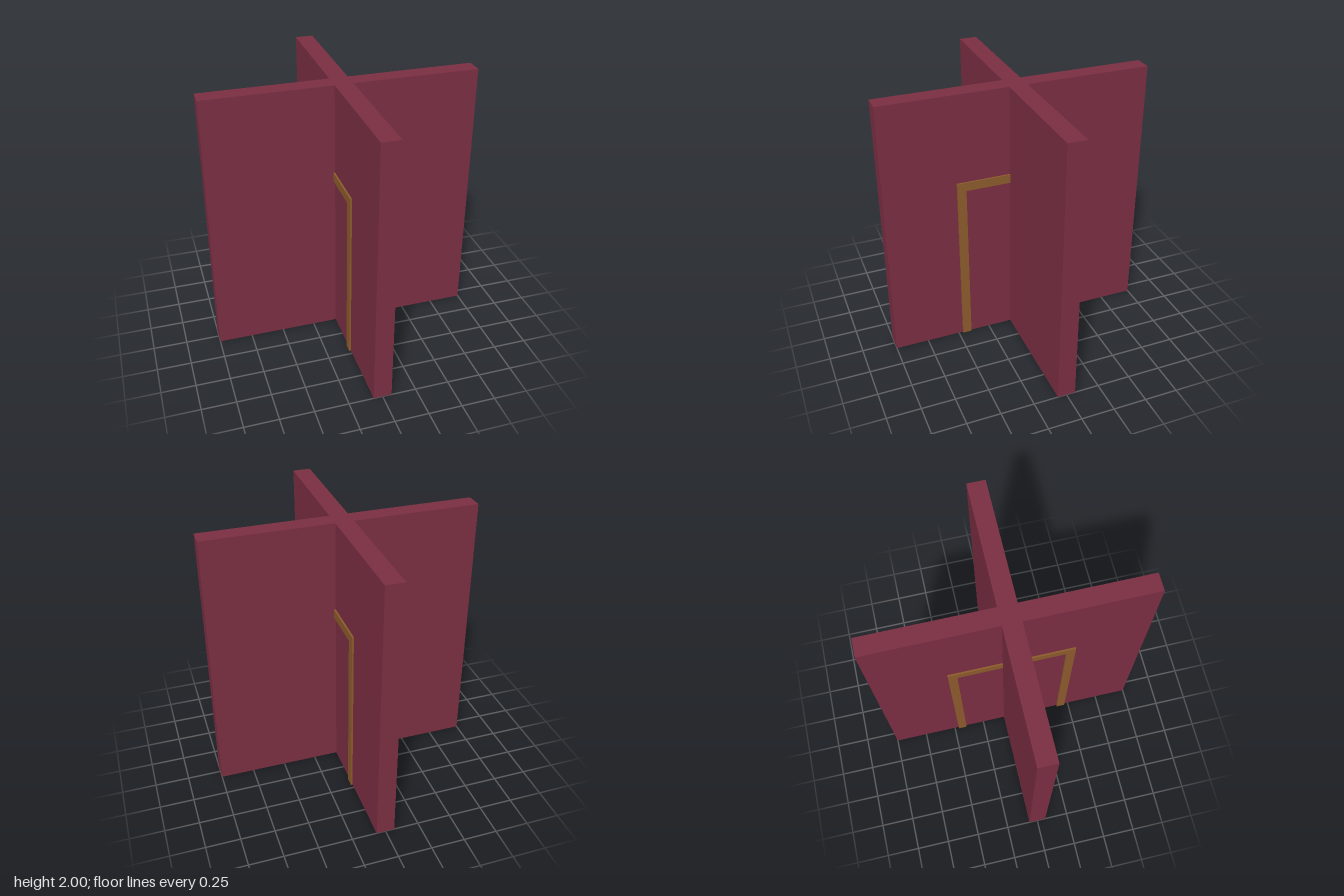
import * as THREE from 'three';

const T = 0.067; // half wall thickness
const TRIM = 0.0133; // how far the door trim stands out

export function createModel() {
  const group = new THREE.Group();
  const wallMat = new THREE.MeshStandardMaterial({ color: 0x7a2e42 });
  wallMat.name = 'burgundy';
  const trimMat = new THREE.MeshStandardMaterial({ color: 0x8b5a2b });
  trimMat.name = 'brown wood';

  // crossed walls: one plus-shaped outline raised to full height
  const plus = new THREE.Shape([
    [1, -T], [1, T], [T, T], [T, 1], [-T, 1], [-T, T],
    [-1, T], [-1, -T], [-T, -T], [-T, -1], [T, -1], [T, -T],
  ].map(([x, y]) => new THREE.Vector2(x, y)));
  const wallGeo = new THREE.ExtrudeGeometry(plus, { depth: 2, bevelEnabled: false });
  wallGeo.rotateX(-Math.PI / 2);
  const walls = new THREE.Mesh(wallGeo, wallMat);
  walls.name = 'crossedWalls';
  group.add(walls);

  // half door frame: a post and a lintel running into the corner
  const half = new THREE.Shape([
    [0.467, 0], [0.467, 1.333], [T, 1.333], [T, 1.267], [0.4, 1.267], [0.4, 0],
  ].map(([x, y]) => new THREE.Vector2(x, y)));
  const trimGeo = new THREE.ExtrudeGeometry(half, { depth: TRIM, bevelEnabled: false });

  // one half frame in each corner, on the faces of the front-to-back wall
  for (const side of [1, -1]) {
    for (const end of [1, -1]) {
      const trim = new THREE.Mesh(trimGeo, trimMat);
      trim.name = `${end > 0 ? 'front' : 'back'}${side > 0 ? 'Left' : 'Right'}DoorTrim`;
      // turn the outline's x axis to point along z
      trim.rotation.y = -end * Math.PI / 2;
      trim.position.x = side === end ? side * (T + TRIM) : side * T;
      group.add(trim);
    }
  }
  return group;
}
